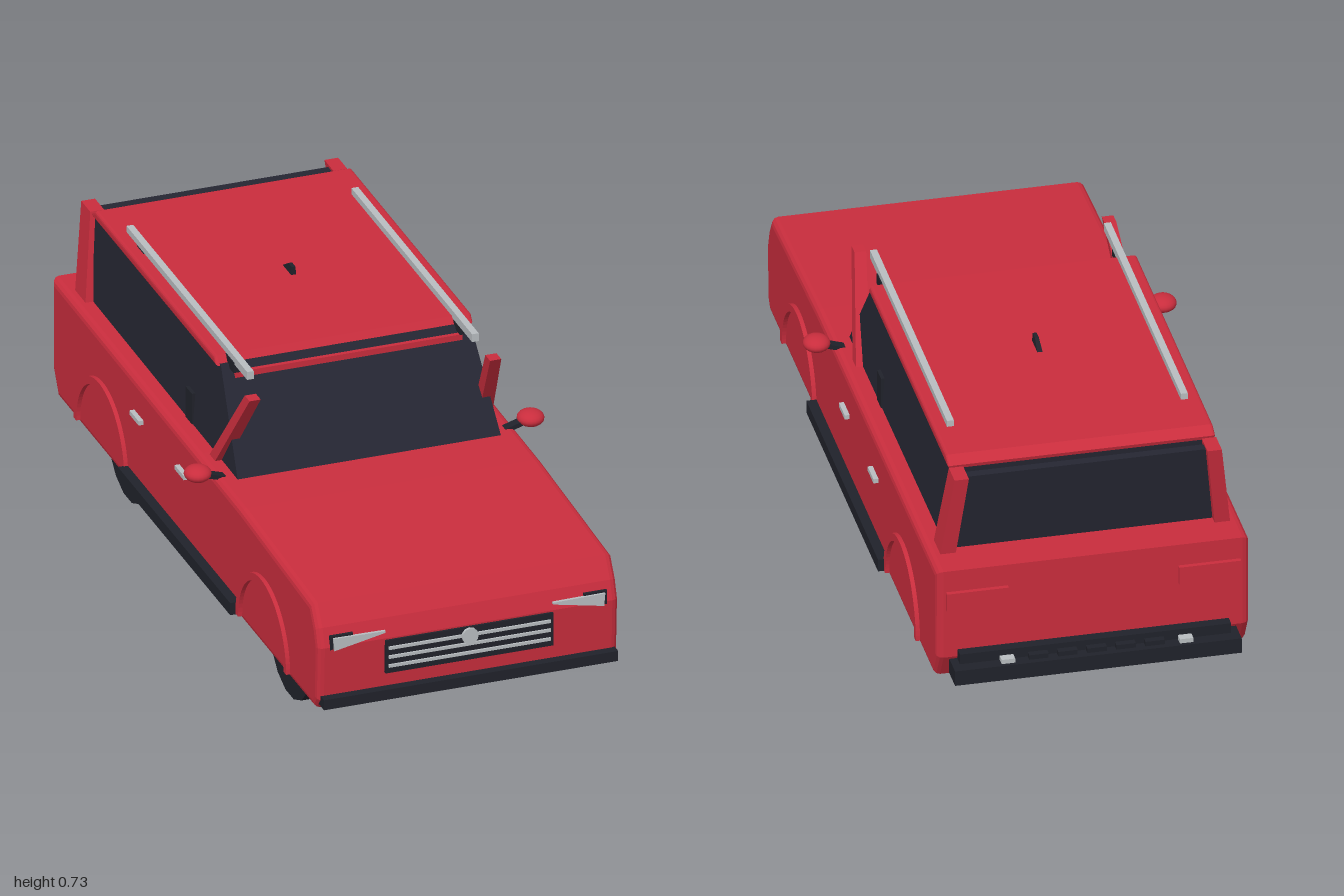
import * as THREE from 'three';

const mat = (name, color, side = THREE.FrontSide) => {
  const m = new THREE.MeshStandardMaterial({ color, side });
  m.name = name;
  return m;
};

export function createModel() {
  const car = new THREE.Group();
  car.name = 'car';
  const red = mat('redPaint', 0xc92d3d);
  const glass = mat('darkGlass', 0x252632);
  const trim = mat('blackTrim', 0x20222a);
  const silver = mat('silver', 0xb8bdc0);

  const add = (name, geo, material, x = 0, y = 0, z = 0) => {
    const m = new THREE.Mesh(geo, material);
    m.name = name;
    m.position.set(x, y, z);
    car.add(m);
    return m;
  };
  const box = (name, material, w, h, d, x, y, z) =>
    add(name, new THREE.BoxGeometry(w, h, d), material, x, y, z);

  // Tapered block between two rectangles [x0, x1, z0, z1]
  const loft = (name, material, y0, low, y1, high) => {
    const g = new THREE.BoxGeometry(1, 1, 1);
    const p = g.attributes.position;
    for (let i = 0; i < p.count; i++) {
      const top = p.getY(i) > 0;
      const r = top ? high : low;
      p.setXYZ(i, r[p.getX(i) > 0 ? 1 : 0], top ? y1 : y0, r[p.getZ(i) > 0 ? 3 : 2]);
    }
    g.computeVertexNormals();
    return add(name, g, material);
  };
  // Rectangle on the left (s = 1) or right (s = -1)
  const side = (s, x0, x1, z0, z1) => (s > 0 ? [x0, x1, z0, z1] : [-x1, -x0, z0, z1]);

  // Side profile of (z, y) points pulled across the car
  const across = (name, material, points, halfWidth, bevel) => {
    const shape = new THREE.Shape(points.map(([z, y]) => new THREE.Vector2(z, y)));
    const depth = 2 * (halfWidth - bevel);
    const g = new THREE.ExtrudeGeometry(shape, {
      depth, bevelEnabled: bevel > 0, bevelSize: bevel, bevelThickness: bevel,
      bevelOffset: -bevel, bevelSegments: 3,
    });
    g.translate(0, 0, -depth / 2);
    g.rotateY(-Math.PI / 2);
    return add(name, g, material);
  };

  // Body shell
  across('body', red, [
    [0.95, 0.14], [0.975, 0.17], [0.982, 0.32], [0.965, 0.37], [0.93, 0.425],
    [0.42, 0.45], [0.1, 0.453], [-0.94, 0.46], [-0.94, 0.21], [-0.9, 0.14],
  ], 0.404, 0.018);

  // Cabin glass and roof
  loft('cabinGlass', glass, 0.445, [-0.354, 0.354, -0.785, 0.27], 0.69, [-0.335, 0.335, -0.81, 0.095]);
  across('roof', red, [
    [0.09, 0.685], [0.075, 0.708], [-0.785, 0.708], [-0.815, 0.692], [-0.812, 0.682],
  ], 0.345, 0.008);
  box('windshieldHeader', red, 0.61, 0.016, 0.02, 0, 0.667, 0.108);
  loft('rearWindow', glass, 0.455, [-0.335, 0.335, -0.825, -0.8], 0.682, [-0.31, 0.31, -0.86, -0.835]);

  // Grille with bars and a plain round badge
  box('grille', trim, 0.45, 0.092, 0.02, 0, 0.27, 0.978);
  for (const y of [0.295, 0.27, 0.245]) box('grilleBar', silver, 0.435, 0.008, 0.008, 0, y, 0.989);
  add('badge', new THREE.CylinderGeometry(0.022, 0.022, 0.008, 12).rotateX(Math.PI / 2), silver, 0, 0.293, 0.992);

  // Bumpers
  box('frontBumper', trim, 0.79, 0.028, 0.04, 0, 0.17, 0.98);
  box('rearBumper', trim, 0.74, 0.042, 0.07, 0, 0.181, -0.965);
  box('rearBumperStep', trim, 0.7, 0.05, 0.035, 0, 0.205, -0.95);
  for (let i = -2; i <= 2; i++) box('rearBumperRib', trim, 0.05, 0.014, 0.02, i * 0.075, 0.208, -0.975);

  // Roof antenna
  loft('antenna', trim, 0.705, [-0.007, 0.007, -0.345, -0.28], 0.73, [-0.005, 0.005, -0.305, -0.28]);

  for (const s of [1, -1]) {
    // Pillars
    loft('frontPillar', red, 0.45, side(s, 0.335, 0.372, 0.11, 0.15), 0.69, side(s, 0.308, 0.338, 0.275, 0.31));
    loft('rearPillar', red, 0.45, side(s, 0.335, 0.375, -0.85, -0.775), 0.69, side(s, 0.308, 0.345, -0.885, -0.82));
    box('doorPillarTrim', trim, 0.012, 0.09, 0.045, s * 0.35, 0.495, -0.08);

    // Headlight: silver wing on a dark backing
    const lamp = (name, material, pts, z) => {
      const shape = new THREE.Shape(pts.map(([x, y]) => new THREE.Vector2(s * x, y)));
      add(name, new THREE.ExtrudeGeometry(shape, { depth: 0.008, bevelEnabled: false }), material, 0, 0, z);
    };
    lamp('headlightBacking', trim, [[0.372, 0.312], [0.372, 0.351], [0.31, 0.351], [0.31, 0.325]], 0.974);
    lamp('headlight', silver, [[0.362, 0.311], [0.365, 0.346], [0.225, 0.344], [0.225, 0.339]], 0.98);

    // Tail light and bumper lamp
    box('tailLight', red, 0.16, 0.05, 0.016, s * 0.3, 0.375, -0.944);
    box('bumperLamp', silver, 0.035, 0.014, 0.025, s * 0.23, 0.207, -0.978);

    // Sill, handles
    box('sill', trim, 0.05, 0.034, 0.81, s * 0.405, 0.171, 0.012);
    for (const z of [0.037, -0.288]) box('doorHandle', silver, 0.013, 0.012, 0.066, s * 0.419, 0.375, z);

    // Mirror and its arm
    const mirror = add('mirror', new THREE.SphereGeometry(1, 20, 12), red, s * 0.447, 0.468, 0.228);
    mirror.scale.set(0.035, 0.021, 0.037);
    const arm = box('mirrorArm', trim, 0.06, 0.012, 0.025, s * 0.402, 0.454, 0.228);
    arm.rotation.z = s * 0.3;

    // Roof rail on two feet
    box('roofRail', silver, 0.018, 0.022, 0.87, s * 0.302, 0.714, -0.215);
    for (const z of [0.1, -0.55]) box('railFoot', trim, 0.02, 0.028, 0.06, s * 0.304, 0.694, z);

    // Wheels and raised arch rings
    for (const z of [0.597, -0.57]) {
      add('wheel', new THREE.CylinderGeometry(0.153, 0.153, 0.031, 16).rotateZ(Math.PI / 2)
        .rotateX(Math.PI / 16), trim, s * 0.322, 0.15, z);
      const ring = new THREE.Shape();
      ring.absarc(0, 0, 0.183, 0, Math.PI, false);
      ring.absarc(0, 0, 0.163, Math.PI, 0, true);
      const arch = new THREE.ExtrudeGeometry(ring, { depth: 0.03, bevelEnabled: false, curveSegments: 20 });
      arch.translate(0, 0, -0.015).rotateY(-Math.PI / 2);
      add('wheelArch', arch, red, s * 0.4, 0.155, z);
    }
  }
  return car;
}
